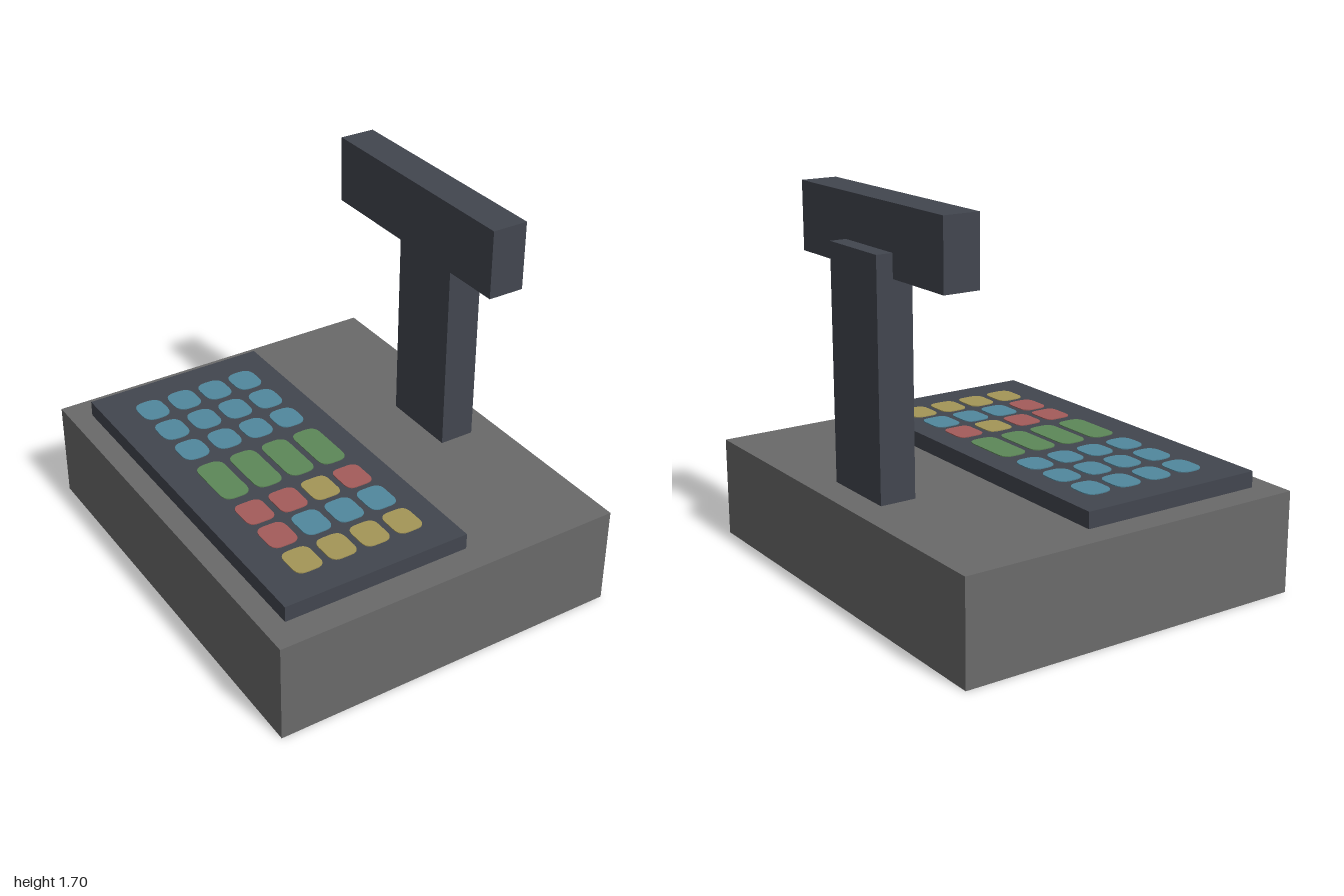
import * as THREE from 'three';

const material = (name, color, side = THREE.FrontSide) => {
  const m = new THREE.MeshStandardMaterial({ color, side });
  m.name = name;
  return m;
};

// Box given by its limits on each axis
function block(name, [x0, x1], [y0, y1], [z0, z1], mat) {
  const geo = new THREE.BoxGeometry(x1 - x0, y1 - y0, z1 - z0);
  geo.translate((x0 + x1) / 2, (y0 + y1) / 2, (z0 + z1) / 2);
  const mesh = new THREE.Mesh(geo, mat);
  mesh.name = name;
  return mesh;
}

// Thin key plate with rounded corners, lying flat
function keyGeometry(w, d, r) {
  const x = w / 2, y = d / 2;
  const s = new THREE.Shape();
  s.moveTo(-x + r, -y);
  s.lineTo(x - r, -y);
  s.quadraticCurveTo(x, -y, x, -y + r);
  s.lineTo(x, y - r);
  s.quadraticCurveTo(x, y, x - r, y);
  s.lineTo(-x + r, y);
  s.quadraticCurveTo(-x, y, -x, y - r);
  s.lineTo(-x, -y + r);
  s.quadraticCurveTo(-x, -y, -x + r, -y);
  const geo = new THREE.ExtrudeGeometry(s, { depth: 0.004, bevelEnabled: false, curveSegments: 6 });
  return geo.rotateX(-Math.PI / 2);
}

export function createModel() {
  const model = new THREE.Group();
  model.name = 'cashRegister';

  const grey = material('baseGrey', 0x6a6a6a, THREE.DoubleSide);
  const dark = material('darkSlate', 0x42464f);
  const keyColors = {
    B: material('keyBlue', 0x51889d),
    G: material('keyGreen', 0x5d8858),
    R: material('keyRed', 0xa45c5a),
    Y: material('keyYellow', 0xa49657),
  };

  // Base: hollow, open underneath
  const base = block('base', [-0.82, 0.82], [0, 0.457], [-1, 1], grey);
  const index = Array.from(base.geometry.index.array);
  index.splice(18, 6); // remove the bottom face
  base.geometry.setIndex(index);
  base.geometry.clearGroups();
  model.add(base);

  // Keyboard panel, display post and display head
  model.add(block('keyPanel', [-0.72, 0.153], [0.457, 0.53], [-0.875, 0.87], dark));
  model.add(block('displayPost', [0.525, 0.69], [0.457, 1.5], [-0.185, 0.185], dark));
  model.add(block('displayHead', [0.45, 0.615], [1.395, 1.7], [-0.555, 0.555], dark));

  // Key rows: centre z, depth, corner size, colours from -x to +x
  const rows = [
    [-0.658, 0.155, 0.055, 'BBBB'],
    [-0.465, 0.155, 0.055, 'BBBB'],
    [-0.275, 0.15, 0.055, 'BBBB'],
    [0.002, 0.285, 0.05, 'GGGG'],
    [0.275, 0.155, 0.04, 'RRYR'],
    [0.462, 0.157, 0.045, 'RBBB'],
    [0.655, 0.155, 0.045, 'YYYY'],
  ];
  const columns = [-0.51, -0.346, -0.184, -0.022];
  const keys = new THREE.Group();
  keys.name = 'keys';
  rows.forEach(([z, depth, r, colors], i) => {
    const geo = keyGeometry(0.131, depth, r);
    columns.forEach((x, j) => {
      const key = new THREE.Mesh(geo, keyColors[colors[j]]);
      key.name = `key_${i + 1}_${j + 1}`;
      key.position.set(x, 0.53, z);
      keys.add(key);
    });
  });
  model.add(keys);

  return model;
}
